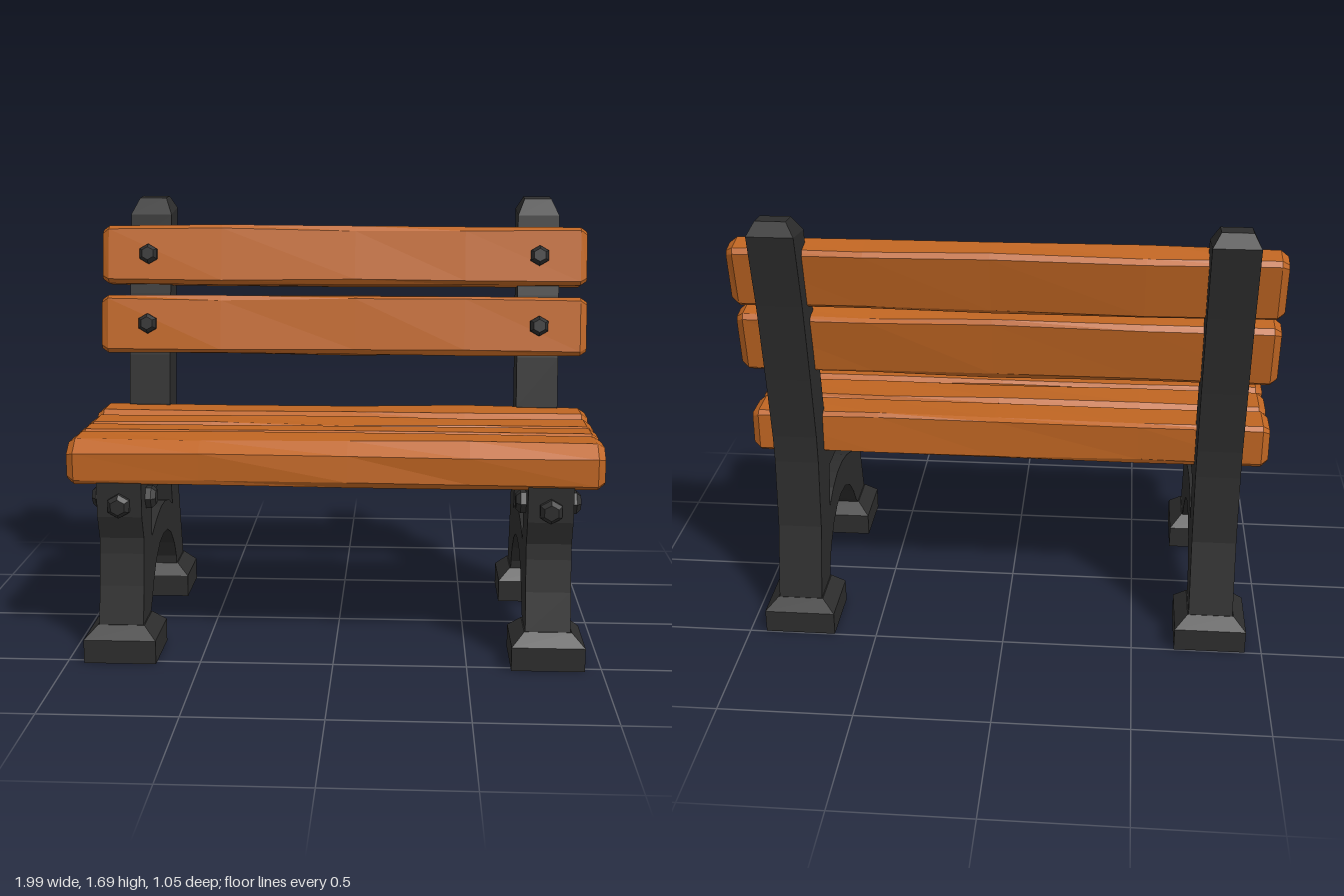
import * as THREE from 'three';

const mat = (name, color) => {
  const m = new THREE.MeshStandardMaterial({ color, flatShading: true });
  m.name = name;
  return m;
};

// Small seeded generator for the hand-hewn unevenness of the planks
function seeded(seed) {
  return () => {
    seed = (seed * 16807) % 2147483647;
    return seed / 2147483647 - 0.5;
  };
}

// Plank along x: chamfered section lofted through stations, with bevelled ends
function plankGeometry(height, depth, frontChamfer, seed) {
  const rnd = seeded(seed);
  const h = height / 2, d = depth / 2, c = 0.016, f = frontChamfer;
  const section = [
    [h, c - d], [h, d - f], [h - f * 0.8, d], [c - h, d],
    [-h, d - c], [-h, c - d], [c - h, -d], [h - c, -d],
  ];
  const stations = [-0.995, -0.968, -0.5, 0.05, 0.5, 0.968, 0.995];
  const n = section.length, last = stations.length - 1;
  const pos = [], index = [];
  stations.forEach((x, i) => {
    const end = i === 0 || i === last;
    const inset = end ? 0.018 : 0;
    const wobble = end || i === 1 || i === last - 1 ? 0.003 : 0.012;
    for (const [y, z] of section) {
      pos.push(x, y * (1 - inset / h) + rnd() * wobble, z * (1 - inset / d) + rnd() * wobble);
    }
  });
  for (let i = 0; i < last; i++) {
    for (let j = 0; j < n; j++) {
      const k = (j + 1) % n;
      const a = i * n + j, b = i * n + k, e = b + n, g = a + n;
      index.push(a, b, e, a, e, g);
    }
  }
  for (let j = 1; j < n - 1; j++) {
    index.push(0, j + 1, j, last * n, last * n + j, last * n + j + 1);
  }
  const geo = new THREE.BufferGeometry();
  geo.setAttribute('position', new THREE.Float32BufferAttribute(pos, 3));
  geo.setIndex(index);
  const flat = geo.toNonIndexed();
  flat.computeVertexNormals();
  return flat;
}

// Tapered block; each rectangle is [half width, back z, front z, y at back, y at front]
function taperGeometry(bottom, top) {
  const geo = new THREE.BoxGeometry(1, 1, 1);
  const p = geo.attributes.position;
  for (let i = 0; i < p.count; i++) {
    const r = p.getY(i) > 0 ? top : bottom;
    const front = p.getZ(i) > 0;
    p.setXYZ(i, Math.sign(p.getX(i)) * r[0], front ? r[4] : r[3], front ? r[2] : r[1]);
  }
  geo.computeVertexNormals();
  return geo;
}

// Side frame outline as (z, y): front leg, seat rail, back post and arch
function frameGeometry(width) {
  const toVectors = (pts) => pts.map(([z, y]) => new THREE.Vector2(z, y));
  const shape = new THREE.Shape(toVectors([
    [0.485, 0.13], [0.45, 0.28], [0.43, 0.4], [0.425, 0.46], [0.455, 0.55], [0.455, 0.685],
    [-0.215, 0.685], [-0.22, 0.85], [-0.25, 1.05], [-0.3, 1.3], [-0.345, 1.5], [-0.365, 1.62],
    [-0.525, 1.64], [-0.46, 1.36], [-0.41, 1.05], [-0.375, 0.8], [-0.37, 0.69], [-0.39, 0.42],
    [-0.46, 0.13], [-0.285, 0.13], [-0.28, 0.17], [-0.24, 0.24], [-0.165, 0.31], [-0.085, 0.347],
    [0, 0.357], [0.09, 0.345], [0.18, 0.3], [0.25, 0.23], [0.29, 0.17], [0.33, 0.13],
  ]));
  shape.holes.push(new THREE.Path(toVectors([
    [0.23, 0.585], [-0.185, 0.585], [-0.215, 0.42], [-0.14, 0.458],
    [-0.05, 0.48], [0.05, 0.48], [0.15, 0.46], [0.265, 0.42],
  ])));
  const geo = new THREE.ExtrudeGeometry(shape, { depth: width, bevelEnabled: false });
  geo.translate(0, 0, -width / 2);
  geo.rotateY(-Math.PI / 2);
  return geo;
}

// Hexagonal bolt head with a chamfered crown, pointing along +y
function boltGeometry(radius, height) {
  return new THREE.LatheGeometry([
    new THREE.Vector2(radius, 0), new THREE.Vector2(radius, height * 0.6),
    new THREE.Vector2(radius * 0.65, height), new THREE.Vector2(0, height),
  ], 6);
}

export function createModel() {
  const group = new THREE.Group();
  const wood = mat('orange wood', 0xbf6522);
  const iron = mat('dark iron', 0x2d2d2d);
  const add = (parent, name, geo, material) => {
    const mesh = new THREE.Mesh(geo, material);
    mesh.name = name;
    parent.add(mesh);
    return mesh;
  };

  // Seat planks: [front z, back z, bottom y, top y, front chamfer]
  [
    [0.465, 0.27, 0.675, 0.84, 0.06],
    [0.252, 0.12, 0.675, 0.838, 0.018],
    [0.106, -0.062, 0.675, 0.835, 0.018],
    [-0.077, -0.255, 0.675, 0.845, 0.03],
  ].forEach(([z1, z0, y0, y1, f], i) => {
    const plank = add(group, 'seatPlank', plankGeometry(y1 - y0, z1 - z0, f, 11 + i * 97), wood);
    plank.position.set(0, (y0 + y1) / 2, (z0 + z1) / 2);
  });

  // Backrest planks, leaning back with the posts: [y, z, tilt]
  const backs = [[1.173, -0.283, -0.16], [1.452, -0.345, -0.19]];
  backs.forEach(([y, z, tilt], i) => {
    const plank = add(group, 'backPlank', plankGeometry(0.238, 0.118, 0.02, 517 + i * 131), wood);
    plank.position.set(0, y, z);
    plank.rotation.x = tilt;
  });

  // Cast iron side frames with feet, post caps and bolts
  const half = 0.084;
  const frameGeo = frameGeometry(half * 2);
  const capGeo = taperGeometry([half, -0.525, -0.365, 1.64, 1.62], [0.055, -0.5, -0.42, 1.69, 1.685]);
  const bolt = boltGeometry(0.041, 0.04);
  const legBolt = boltGeometry(0.046, 0.042);
  for (const side of [-1, 1]) {
    const frame = new THREE.Group();
    frame.name = side > 0 ? 'leftFrame' : 'rightFrame';
    frame.position.x = side * 0.8;
    group.add(frame);
    add(frame, 'sideFrame', frameGeo, iron);
    add(frame, 'postCap', capGeo, iron);

    for (const [b, f, tb, tf] of [[0.28, 0.53, 0.325, 0.487], [-0.497, -0.25, -0.46, -0.285]]) {
      add(frame, 'footBlock', taperGeometry([0.136, b, f, 0, 0], [0.136, b, f, 0.09, 0.09]), iron);
      add(frame, 'footTaper', taperGeometry([0.136, b, f, 0.09, 0.09], [0.088, tb, tf, 0.137, 0.137]), iron);
    }

    // Bolts through the backrest planks
    for (const [y, z, tilt] of backs) {
      const head = add(frame, 'backBolt', bolt, iron);
      head.position.set(0, y + 0.01, z + 0.054);
      head.rotation.x = Math.PI / 2 + tilt;
    }
    // Bolts on the front and both flanks of the front leg
    const front = add(frame, 'legFrontBolt', legBolt, iron);
    front.position.set(0, 0.595, 0.448);
    front.rotation.x = Math.PI / 2;
    for (const s of [-1, 1]) {
      const flank = add(frame, 'legSideBolt', legBolt, iron);
      flank.position.set(s * (half - 0.005), 0.6, 0.34);
      flank.rotation.z = -s * Math.PI / 2;
    }
  }
  return group;
}
